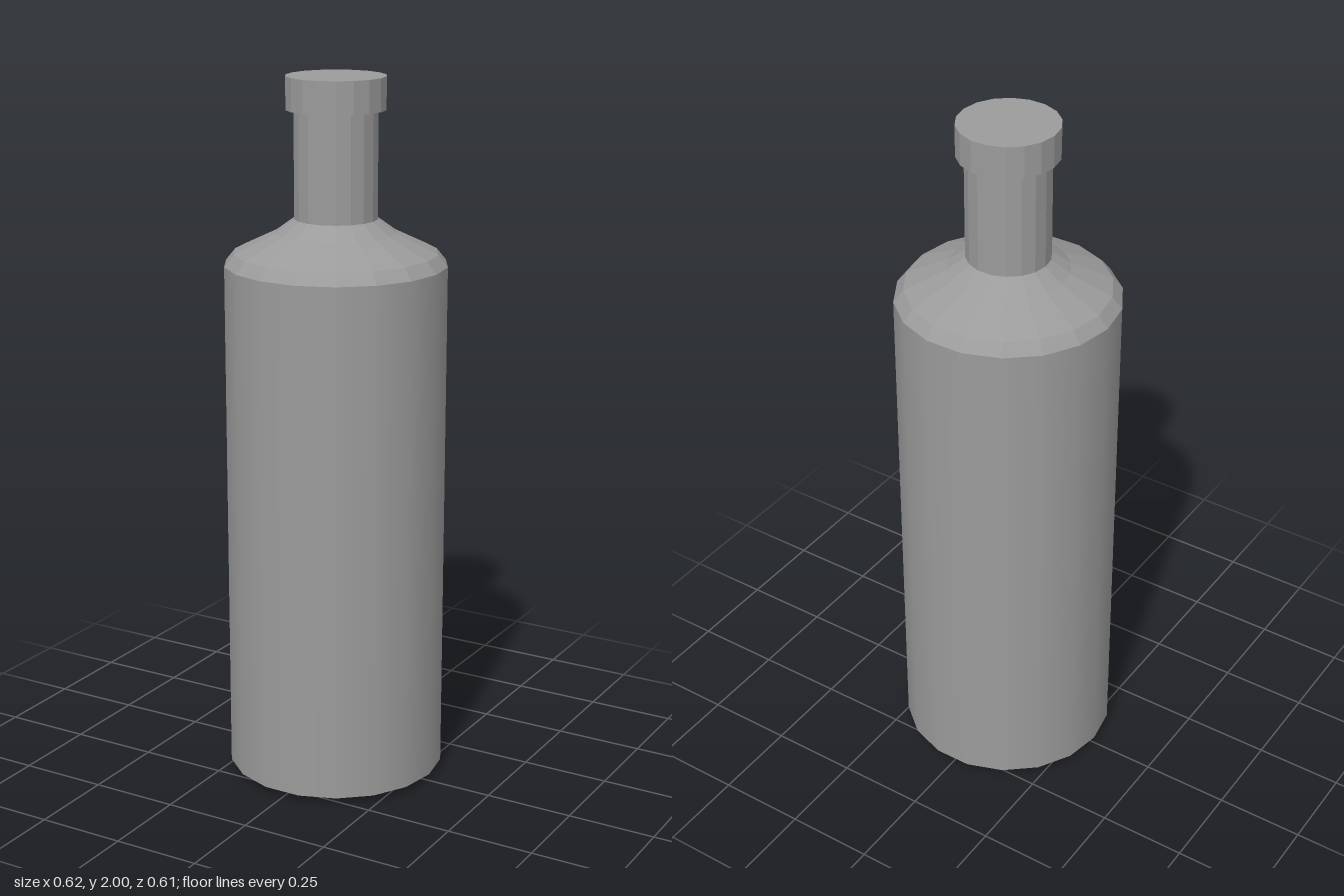
import * as THREE from 'three';

const SIDES = 18;
const GREY = 0x9b9b9b;
const faceted = new THREE.MeshStandardMaterial({ color: GREY, flatShading: true });
const smooth = new THREE.MeshStandardMaterial({ color: GREY });

// Revolve [radius, height] pairs, listed from bottom to top, with a corner on the x axis
function turned(name, profile, material = faceted) {
  const points = profile.map(([r, y]) => new THREE.Vector2(r, y));
  const mesh = new THREE.Mesh(new THREE.LatheGeometry(points, SIDES, Math.PI / 2), material);
  mesh.name = name;
  return mesh;
}

export function createModel() {
  const bottle = new THREE.Group();
  bottle.name = 'bottle';

  // Recessed base with a chamfered foot
  bottle.add(turned('base', [[0, 0.025], [0.2, 0.025], [0.24, 0], [0.31, 0.02]]));

  // Straight body, smooth all round
  bottle.add(turned('body', [[0.31, 0.02], [0.31, 1.487]], smooth));

  // Shoulder rounding in to the neck
  bottle.add(turned('shoulder', [[0.31, 1.487], [0.283, 1.52], [0.168, 1.575], [0.116, 1.613]]));

  // Neck
  bottle.add(turned('neck', [[0.116, 1.613], [0.116, 1.91]]));

  // Wider cap, closed on top
  bottle.add(turned('cap', [[0.116, 1.91], [0.138, 1.91], [0.138, 2], [0, 2]]));

  return bottle;
}
